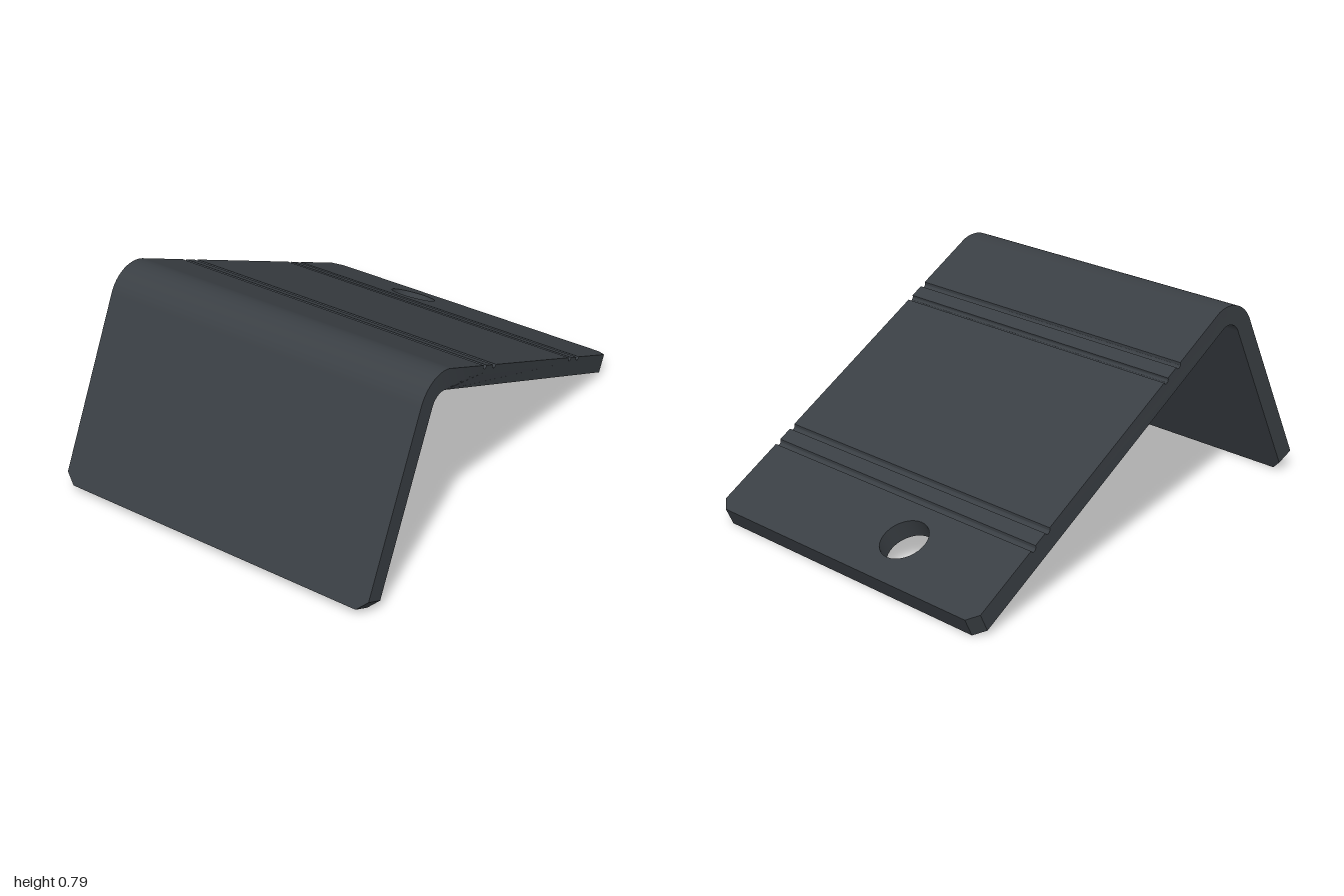
import * as THREE from 'three';
import { toCreasedNormals } from 'three/addons/utils/BufferGeometryUtils.js';

const T = 0.077;                 // sheet thickness
const R = 0.14;                  // outer bend radius
const BACK = 1.793, FRONT = 0.886; // leg lengths from the sharp corner
const SPLIT = 1.46;              // where the grooved panel meets the end with the hole
const X0 = -0.6, X1 = 0.8;       // width of the front leg
const CHAMFER = 0.042;

// Sideways lean of the back leg at distance u from the corner
const lean = (u) => -0.2 * Math.max(0, u - R) / (BACK - R);

// Flat sheet from distance a to b with both far corners chamfered
function sheetShape(a, b, shift) {
  const c = b - CHAMFER;
  return new THREE.Shape([
    new THREE.Vector2(X0 + shift(a), a),
    new THREE.Vector2(X1 + shift(a), a),
    new THREE.Vector2(X1 + shift(c), c),
    new THREE.Vector2(X1 + shift(b) - CHAMFER, b),
    new THREE.Vector2(X0 + shift(b) + CHAMFER, b),
    new THREE.Vector2(X0 + shift(c), c),
  ]);
}

const extrude = (shape, depth) =>
  new THREE.ExtrudeGeometry(shape, { depth, bevelEnabled: false, curveSegments: 16 });

export function createModel() {
  const material = new THREE.MeshStandardMaterial({ color: 0x3a3f44 });
  const model = new THREE.Group();
  model.name = 'bentBracket';

  // Tilted frame: origin at the sharp outer corner, back leg along -z, front leg along -y
  const plate = new THREE.Group();
  plate.name = 'bentPlate';
  plate.rotation.x = -Math.atan2(0.427, 0.904);
  plate.position.set(0, 0.836, 0.621);
  model.add(plate);

  const add = (name, geometry) => {
    const mesh = new THREE.Mesh(toCreasedNormals(geometry, 0.6), material);
    mesh.name = name;
    plate.add(mesh);
  };

  // Front leg
  add('frontLeg', extrude(sheetShape(R, FRONT, () => 0), T).rotateX(Math.PI));

  // Bend and grooved back panel: side profile swept across the width
  const profile = new THREE.Shape();
  profile.moveTo(0, -R);
  profile.absarc(R, -R, R, Math.PI, Math.PI / 2, true);
  for (const u of [0.444, 0.532, 1.335, 1.425]) {
    profile.absarc(u, 0, 0.014, Math.PI, Math.PI * 2, false);
  }
  profile.lineTo(SPLIT, 0);
  profile.lineTo(SPLIT, -T);
  profile.lineTo(R, -T);
  profile.absarc(R, -R, R - T, Math.PI / 2, Math.PI, false);
  const panel = extrude(profile, X1 - X0).rotateY(Math.PI / 2).translate(X0, 0, 0);
  const pos = panel.attributes.position;
  for (let i = 0; i < pos.count; i++) pos.setX(i, pos.getX(i) + lean(-pos.getZ(i)));
  add('bendAndGroovedPanel', panel);

  // Back end with the round hole
  const end = sheetShape(SPLIT, BACK, lean);
  const hole = new THREE.Path();
  hole.absarc(-0.262, 1.6, 0.095, 0, Math.PI * 2, true);
  end.holes.push(hole);
  add('backEndWithHole', extrude(end, T).rotateX(-Math.PI / 2).translate(0, -T, 0));

  return model;
}
